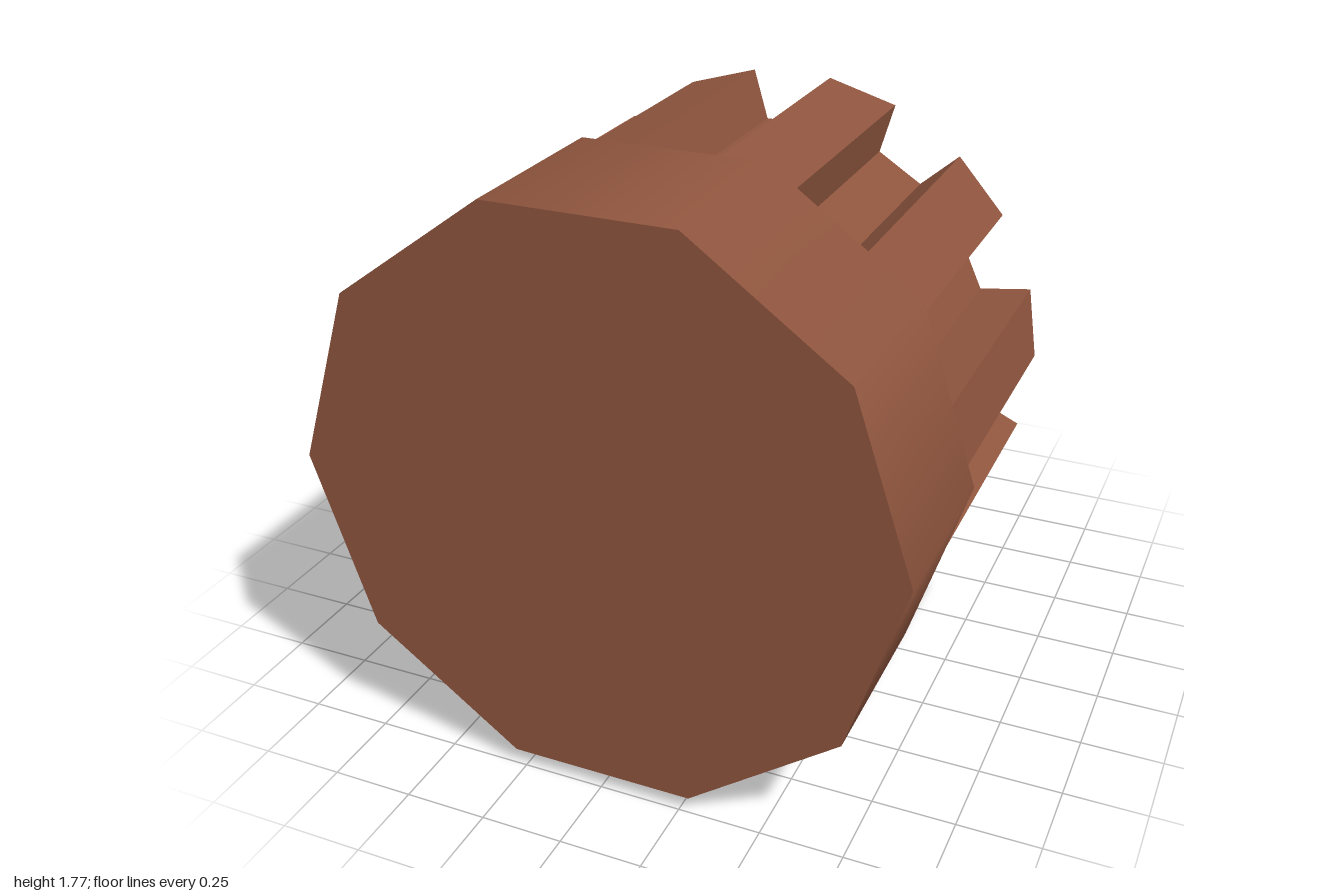
import * as THREE from 'three';

const AXIS_Y = 0.912;

export function createModel() {
  const group = new THREE.Group();
  const brown = new THREE.MeshStandardMaterial({ color: 0x8f553e });
  brown.name = 'copper brown';
  const grey = new THREE.MeshStandardMaterial({ color: 0xababab });
  grey.name = 'light grey';

  const add = (name, geometry, material, x, y, z) => {
    const mesh = new THREE.Mesh(geometry, material);
    mesh.name = name;
    mesh.position.set(x, y, z);
    group.add(mesh);
  };

  // Prism lying along z, with one corner pointing to +x
  const prism = (name, radius, sides, z0, z1, material, faceted) => {
    let g = new THREE.CylinderGeometry(radius, radius, z1 - z0, sides, 1, false, Math.PI / 2);
    g.rotateX(Math.PI / 2);
    if (faceted) {
      g = g.toNonIndexed();
      g.computeVertexNormals();
    }
    add(name, g, material, 0, AXIS_Y, (z0 + z1) / 2);
  };

  // Front housing, rear nut and shaft
  prism('housing', 0.907, 10, 0.435, 1, brown, false);
  prism('nut', 0.545, 6, -0.635, -0.47, grey, true);
  prism('shaft', 0.18, 7, -1, -0.635, brown, true);

  // Ribbed body: eleven straight-sided ribs, one pointing straight down
  const teeth = 11, half = 0.115, tip = 0.852, root = 0.688;
  const points = [];
  for (let i = 0; i < teeth; i++) {
    const a = -Math.PI / 2 + (i / teeth) * Math.PI * 2;
    for (const [r, w] of [[root, -half], [tip, -half], [tip, half], [root, half]]) {
      points.push(new THREE.Vector2(
        r * Math.cos(a) - w * Math.sin(a),
        r * Math.sin(a) + w * Math.cos(a)
      ));
    }
  }
  const body = new THREE.ExtrudeGeometry(new THREE.Shape(points), { depth: 0.905, bevelEnabled: false });
  add('ribbedBody', body, brown, 0, AXIS_Y, -0.47);

  // Two flat feet
  for (const side of [-1, 1]) {
    const name = side > 0 ? 'leftFoot' : 'rightFoot';
    add(name, new THREE.BoxGeometry(0.452, 0.115, 0.835), brown, side * 0.34, 0.0575, -0.0025);
  }
  return group;
}
